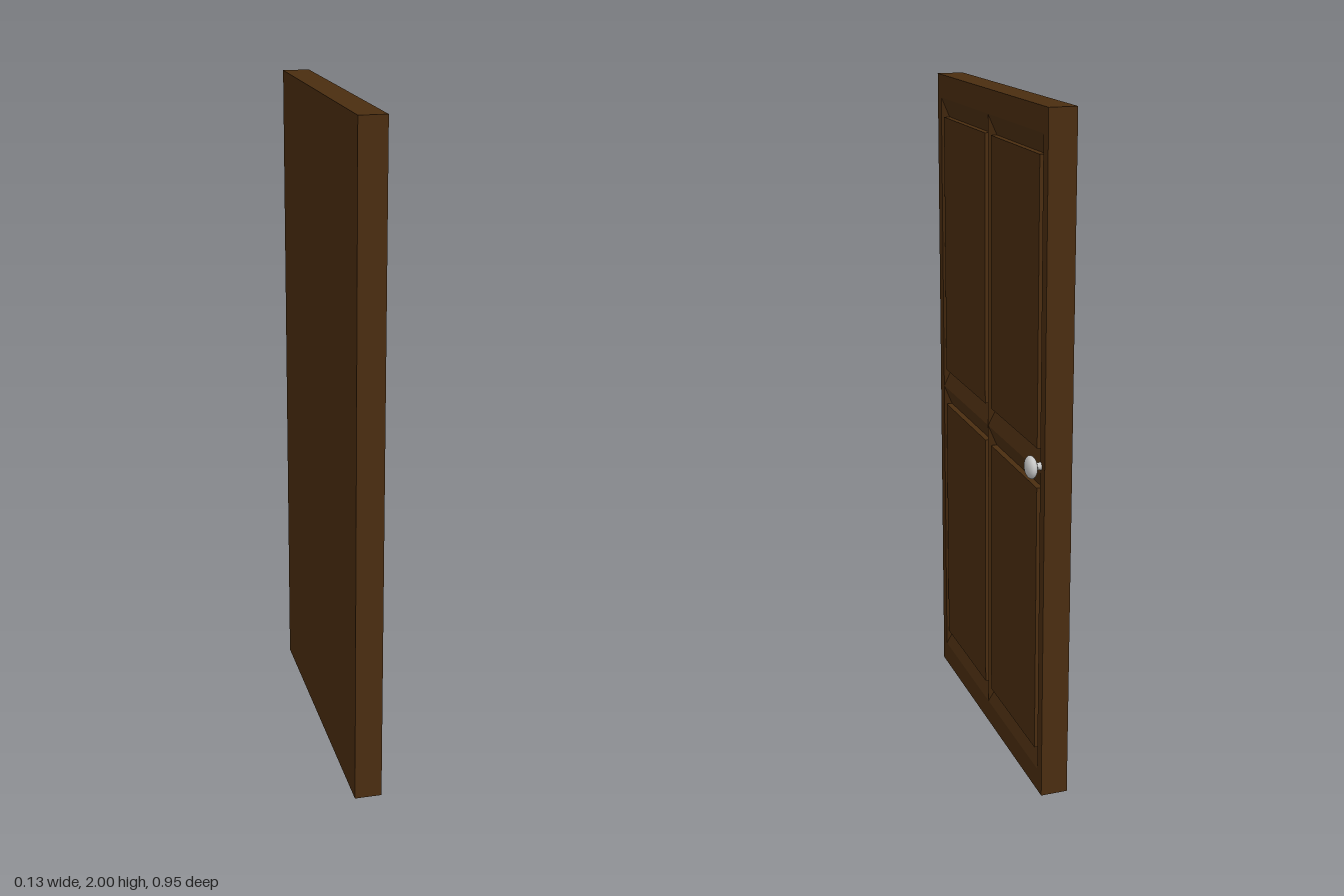
import * as THREE from 'three';

const WIDTH = 0.954, HEIGHT = 2;
const BACK = -0.063, GROOVE = 0, FACE = 0.018;

// Rectangle corners, counter-clockwise
const corners = ([x0, y0, x1, y1]) => [[x0, y0], [x1, y0], [x1, y1], [x0, y1]];
const path = (rect, Type) => new Type(corners(rect).map(([x, y]) => new THREE.Vector2(x, y)));

// Four mitred slopes running from the outer rectangle down to the inner one
function slopedMoulding(outer, inner) {
  const a = corners(outer), b = corners(inner), pos = [];
  for (let i = 0; i < 4; i++) {
    const j = (i + 1) % 4;
    const p = [...a[i], FACE], q = [...a[j], FACE], r = [...b[j], GROOVE], s = [...b[i], GROOVE];
    pos.push(...p, ...q, ...r, ...p, ...r, ...s);
  }
  const g = new THREE.BufferGeometry();
  g.setAttribute('position', new THREE.Float32BufferAttribute(pos, 3));
  g.computeVertexNormals();
  return g;
}

export function createModel() {
  const wood = new THREE.MeshStandardMaterial({ color: 0x4a2d10 });
  wood.name = 'dark brown wood';
  const metal = new THREE.MeshStandardMaterial({ color: 0xc8c8c8 });
  metal.name = 'pale grey metal';

  // The door is laid out facing +z, then turned to face +x
  const door = new THREE.Group();
  door.name = 'door';
  const add = (name, geometry, material) => {
    const mesh = new THREE.Mesh(geometry, material);
    mesh.name = name;
    door.add(mesh);
    return mesh;
  };

  // Solid slab up to the bottom of the grooves
  add('slab', new THREE.BoxGeometry(WIDTH, HEIGHT, GROOVE - BACK), wood)
    .position.set(0, HEIGHT / 2, (BACK + GROOVE) / 2);

  // Flat outer frame
  const frame = path([-WIDTH / 2, 0, WIDTH / 2, HEIGHT], THREE.Shape);
  frame.holes.push(path([-0.442, 0.07, 0.442, 1.93], THREE.Path));
  add('frame', new THREE.ExtrudeGeometry(frame, { depth: FACE - GROOVE, bevelEnabled: false }), wood)
    .position.z = GROOVE;

  // Four raised panels, each inside its sloped moulding
  for (const [ox0, ox1, ix0, ix1] of [[-0.442, 0, -0.417, -0.027], [0, 0.442, 0.027, 0.417]]) {
    for (const [oy0, oy1, iy0, iy1] of [[0.07, 1, 0.128, 0.945], [1, 1.93, 1.062, 1.873]]) {
      add('moulding', slopedMoulding([ox0, oy0, ox1, oy1], [ix0, iy0, ix1, iy1]), wood);
      add('panel', new THREE.BoxGeometry(ix1 - ix0, iy1 - iy0, FACE - GROOVE), wood)
        .position.set((ix0 + ix1) / 2, (iy0 + iy1) / 2, (FACE + GROOVE) / 2);
    }
  }

  // Knob: short stem with a flattened round grip
  const profile = [[0.012, 0], [0.011, 0.003], [0.01, 0.012], [0.011, 0.016]];
  for (let i = 0; i <= 10; i++) {
    const t = -1.2 + (i / 10) * (1.2 + Math.PI / 2);
    profile.push([Math.max(0.033 * Math.cos(t), 0), 0.0285 + 0.0165 * Math.sin(t)]);
  }
  const knob = add('knob', new THREE.LatheGeometry(
    profile.map(([r, y]) => new THREE.Vector2(r, y)), 24), metal);
  knob.rotation.x = Math.PI / 2;
  knob.position.set(0.444, 1.02, FACE);

  door.rotation.y = Math.PI / 2;
  const model = new THREE.Group();
  model.name = 'panelledDoor';
  model.add(door);
  return model;
}
